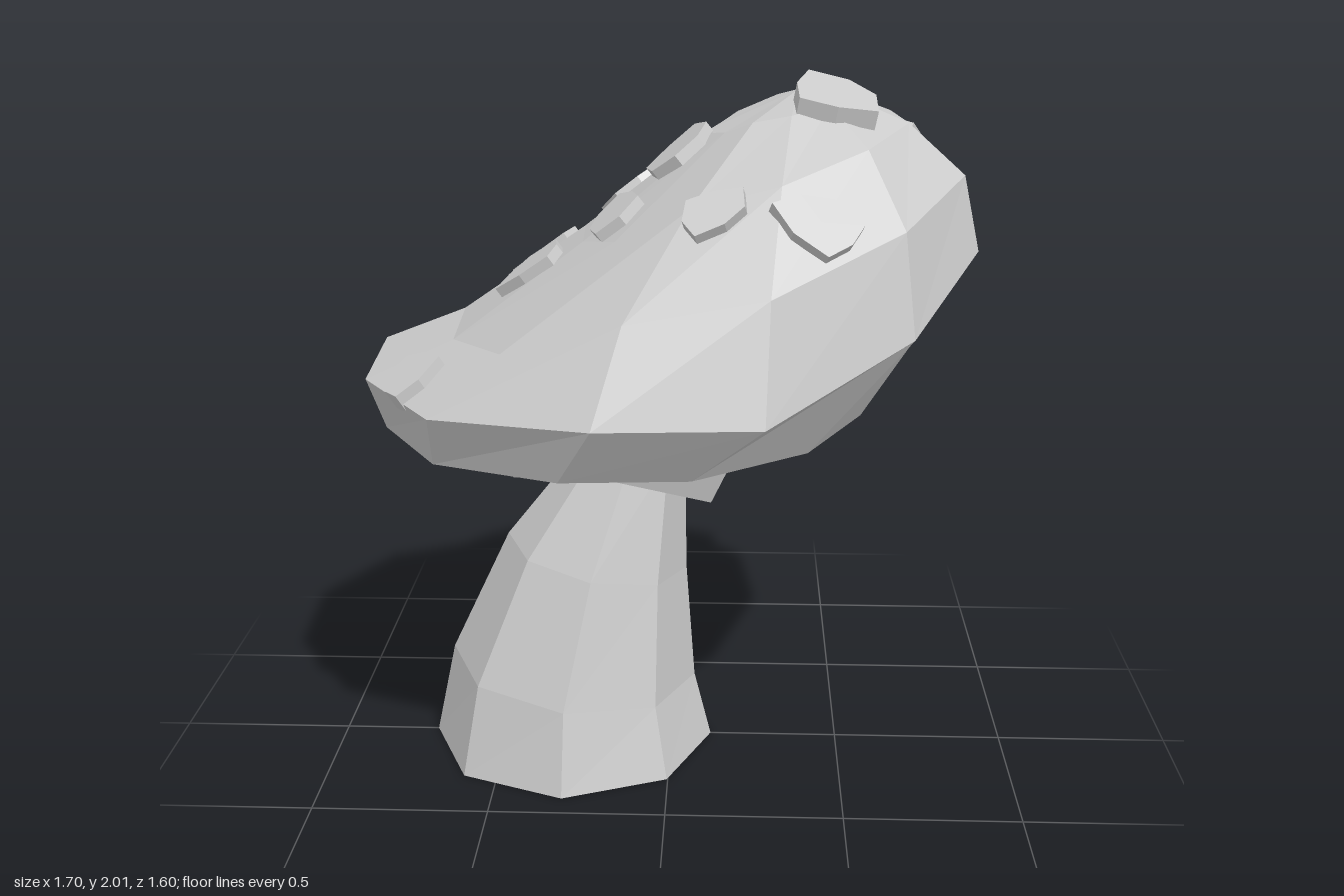
import * as THREE from 'three';

const { lerp } = THREE.MathUtils;
const grey = () => new THREE.MeshStandardMaterial({ color: 0xcccccc, flatShading: true, side: THREE.DoubleSide });

// Joins closed rings of points, listed from bottom to top; a peak closes the top with a fan
function loft(name, rings, peak = null) {
  const n = rings[0].length;
  const points = rings.flat();
  const index = [];
  for (let r = 0; r < rings.length - 1; r++) {
    for (let i = 0; i < n; i++) {
      const j = (i + 1) % n;
      const a = r * n + i, b = r * n + j, c = b + n, d = a + n;
      index.push(a, d, b, b, d, c);
    }
  }
  if (peak) {
    const c = points.push(peak) - 1;
    const o = (rings.length - 1) * n;
    for (let i = 0; i < n; i++) index.push(c, o + (i + 1) % n, o + i);
  }
  let geo = new THREE.BufferGeometry();
  geo.setAttribute('position', new THREE.Float32BufferAttribute(points.flat(), 3));
  geo.setIndex(index);
  geo = geo.toNonIndexed();
  geo.computeVertexNormals();
  const mesh = new THREE.Mesh(geo, grey());
  mesh.name = name;
  return mesh;
}

// Bent, hollow eight-sided stem: centre x, height, radius, tilt
function makeStem() {
  const sections = [[-0.3, 0, 0.42, 0], [-0.295, 0.24, 0.365, 0.04], [-0.22, 0.6, 0.265, 0.05],
    [-0.115, 0.92, 0.155, 0], [-0.07, 1.1, 0.12, 0]];
  return loft('stem', sections.map(([cx, y, r, tilt]) =>
    Array.from({ length: 8 }, (_, i) => {
      const a = i * Math.PI / 4;
      return [cx + r * Math.cos(a), y - tilt * Math.cos(a), r * Math.sin(a)];
    })));
}

// Lopsided cap: each rim point is x, y, z and how bulging the dome is above it
function makeCap() {
  const rim = [
    [0.85, 1.53, 0.085, 1], [0.645, 1.38, 0.49, 0.95], [0.26, 1.22, 0.77, 0.8],
    [-0.17, 1.22, 0.8, 0.55], [-0.6, 1.2, 0.64, 0.15], [-0.83, 1.2, 0.275, 0],
    [-0.85, 1.21, -0.14, 0], [-0.66, 1.21, -0.52, 0.1], [-0.36, 1.13, -0.75, 0.45],
    [0.15, 1.265, -0.8, 0.85], [0.55, 1.42, -0.66, 0.9], [0.8, 1.54, -0.33, 1]];
  const apex = [0.35, 1.955, -0.05];
  // Inward and upward fractions for the flat side and the bulging side
  const steps = [[0.2, 0.13, 0.09, 0.49], [0.5, 0.47, 0.4, 0.81], [0.8, 0.85, 0.72, 0.96]];
  const dome = steps.map(([t0, f0, t1, f1]) => rim.map(([x, y, z, s]) => {
    const t = lerp(t0, t1, s), f = lerp(f0, f1, s);
    return [lerp(x, apex[0], t), lerp(y, apex[1], f), lerp(z, apex[2], t)];
  }));
  const under = rim.map(([x, , z]) => [x * 0.79 - 0.13, z < -0.6 ? 1.1 : 1.05, z * 0.86]);
  const inner = rim.map(([x, , z]) => [x * 0.43 - 0.16, 1, z * 0.43 + 0.02]);
  return loft('cap', [inner, under, rim.map(p => p.slice(0, 3)), ...dome], apex);
}

// Ragged six-sided ring with three drooping points, hanging below the cap
function makeSkirt() {
  const hem = [[0.2, 0.945, -0.1], [0.12, 0.84, 0.24], [-0.22, 0.945, 0.33],
    [-0.46, 0.84, 0.05], [-0.42, 0.945, -0.28], [-0.09, 0.84, -0.33]];
  const head = [[0.2, 1.02, -0.1], [0.2, 1.02, 0.28], [-0.23, 1.02, 0.37],
    [-0.53, 1.02, 0.07], [-0.43, 1.02, -0.29], [-0.09, 1.02, -0.33]];
  return loft('skirt', [hem, head]);
}

// Flat irregular patches resting on the cap: x, z, width, depth
function makeWarts(cap) {
  const spots = [
    [-0.38, -0.34, 0.19, 0.16], [-0.12, -0.33, 0.16, 0.16], [0.09, -0.66, 0.21, 0.15],
    [-0.155, -0.685, 0.07, 0.05], [0.31, -0.45, 0.23, 0.16], [0.66, -0.36, 0.18, 0.16],
    [0.035, 0, 0.17, 0.24], [-0.375, 0.065, 0.18, 0.18], [-0.135, 0.15, 0.14, 0.18],
    [0.44, 0.06, 0.25, 0.28], [-0.67, 0.42, 0.15, 0.19], [0.13, 0.46, 0.17, 0.12],
    [0.39, 0.49, 0.22, 0.13]];
  const warts = new THREE.Group();
  warts.name = 'warts';
  const ray = new THREE.Raycaster();
  const down = new THREE.Vector3(0, -1, 0);
  const height = (x, z) => {
    ray.set(new THREE.Vector3(x, 3, z), down);
    return ray.intersectObject(cap)[0].point.y;
  };
  spots.forEach(([x, z, w, d], k) => {
    // Lean each wart along the average slope beneath it
    const u = w * 0.3, v = d * 0.3;
    const sx = (height(x + u, z) - height(x - u, z)) / (2 * u);
    const sz = (height(x, z + v) - height(x, z - v)) / (2 * v);
    const y = height(x, z);
    const n = new THREE.Vector3(-sx, 1, -sz).normalize();
    const ring = (lift, size = 1) => Array.from({ length: 7 }, (_, i) => {
      const a = (i + 0.3 * k) * Math.PI * 2 / 7;
      const r = 0.5 * size * (0.98 + 0.16 * Math.sin(i * 2.4 + k * 1.7));
      const dx = w * r * Math.cos(a), dz = d * r * Math.sin(a);
      return [x + dx + n.x * lift, y + sx * dx + sz * dz + n.y * lift, z + dz + n.z * lift];
    });
    const peak = [x + n.x * 0.03, y + n.y * 0.03, z + n.z * 0.03];
    warts.add(loft('wart', [ring(-0.03), ring(0.03)], peak));
  });
  return warts;
}

export function createModel() {
  const model = new THREE.Group();
  model.name = 'mushroom';
  const cap = makeCap();
  model.add(makeStem(), makeSkirt(), cap, makeWarts(cap));
  return model;
}
